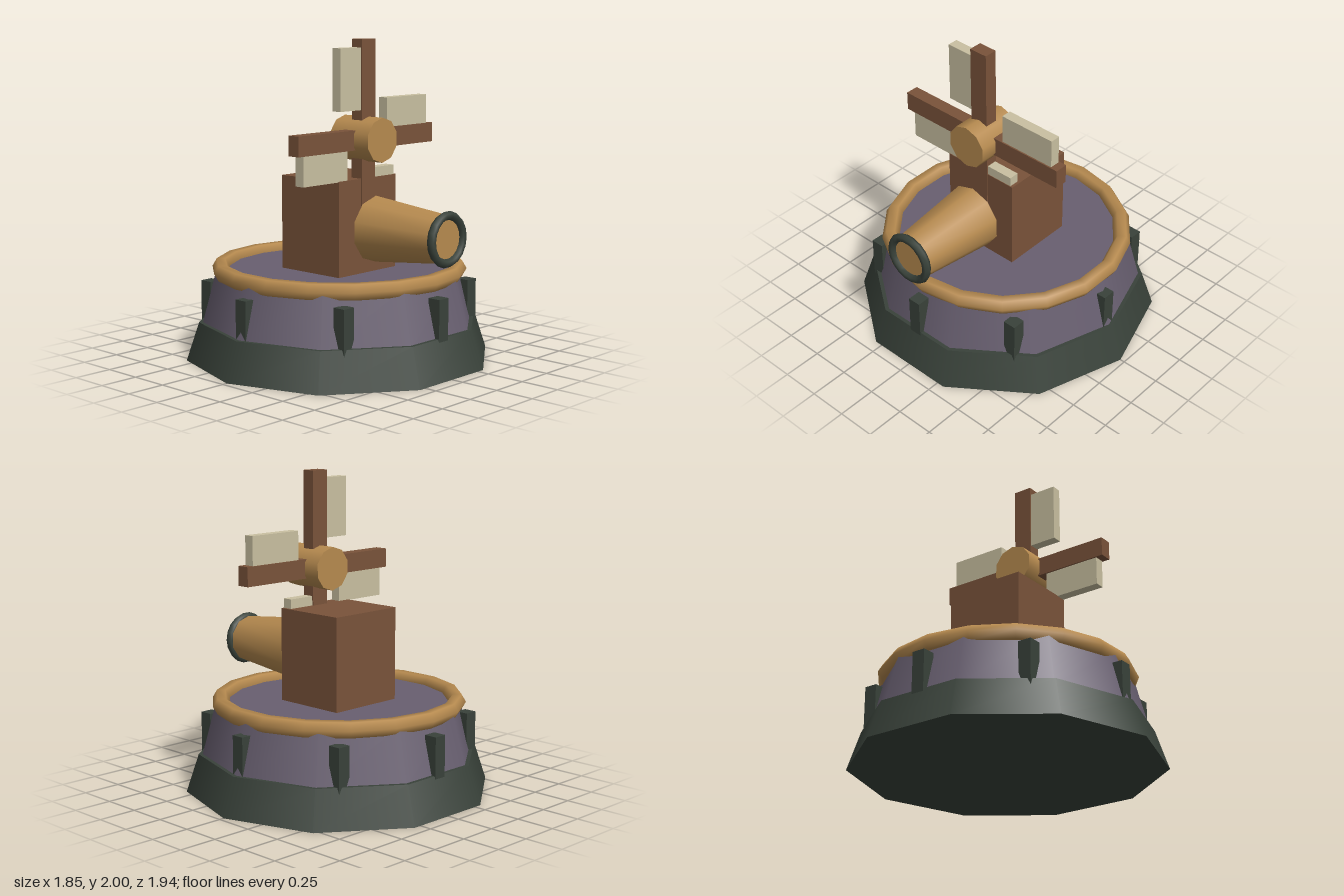
import * as THREE from 'three';

const mat = (name, color) => {
  const m = new THREE.MeshStandardMaterial({ color });
  m.name = name;
  return m;
};

export function createModel() {
  const model = new THREE.Group();
  model.name = 'windmillCannonTower';

  const wood = mat('brown wood', 0x7a533a);
  const brass = mat('tan brass', 0xb68a4f);
  const cloth = mat('cream cloth', 0xc9c0a1);
  const iron = mat('dark green iron', 0x39423a);
  const stone = mat('purple stone', 0x685f70);

  const add = (name, geometry, material, x = 0, y = 0, z = 0, parent = model) => {
    const mesh = new THREE.Mesh(geometry, material);
    mesh.name = name;
    mesh.position.set(x, y, z);
    parent.add(mesh);
    return mesh;
  };
  const box = (w, h, d) => new THREE.BoxGeometry(w, h, d);
  // ten-sided cylinder lying along x, with a corner straight up
  const lyingCylinder = (rEnd, rStart, length) =>
    new THREE.CylinderGeometry(rEnd, rStart, length, 10).rotateZ(-Math.PI / 2).rotateX(Math.PI / 2);

  // foundation, drum and rim
  add('foundation', new THREE.CylinderGeometry(0.89, 0.97, 0.24, 10), iron, 0, 0.12);
  add('drum', new THREE.CylinderGeometry(0.78, 0.87, 0.34, 10), stone, 0, 0.39);
  add('rim', new THREE.TorusGeometry(0.75, 0.055, 6, 18).rotateX(Math.PI / 2), brass, 0, 0.56);

  // eight square brackets around the drum
  for (let i = 0; i < 8; i++) {
    const a = (i * Math.PI) / 4;
    add('bracket', box(0.085, 0.28, 0.085), iron, 0.81 * Math.sin(a), 0.34, 0.81 * Math.cos(a));
  }

  // tower block
  add('towerBlock', box(0.486, 0.62, 0.524), wood, 0, 0.84);

  // barrel with muzzle ring
  add('barrel', lyingCylinder(0.147, 0.206, 0.56), brass, 0.59, 0.84);
  add('muzzleRing', new THREE.TorusGeometry(0.144, 0.027, 6, 18).rotateY(Math.PI / 2), iron, 0.87, 0.84);

  // windmill wheel
  const wheel = new THREE.Group();
  wheel.name = 'windmillWheel';
  wheel.position.set(0.206, 1.39, 0);
  model.add(wheel);
  add('hub', lyingCylinder(0.138, 0.138, 0.31), brass, 0, 0, 0, wheel);
  add('verticalArm', box(0.084, 1.22, 0.122), wood, 0, 0, 0, wheel);
  add('horizontalArm', box(0.084, 0.122, 1.22), wood, 0, 0, 0, wheel);
  for (let i = 0; i < 4; i++) {
    const blade = new THREE.Group();
    blade.name = 'blade';
    blade.rotation.x = (i * Math.PI) / 2;
    wheel.add(blade);
    add('sail', box(0.066, 0.38, 0.184), cloth, 0, 0.37, 0.152, blade);
  }

  return model;
}
